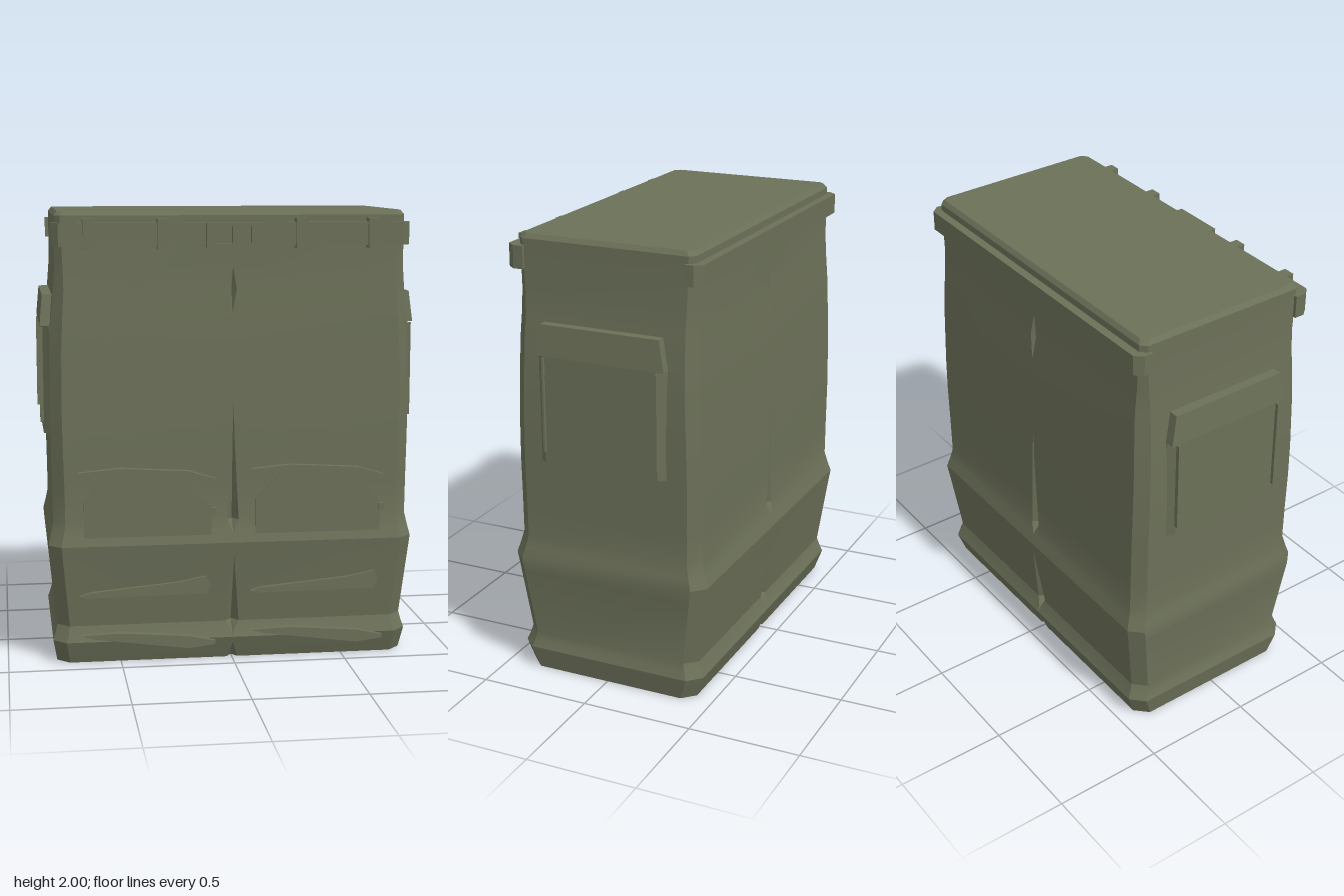
import * as THREE from 'three';
import { toCreasedNormals } from 'three/addons/utils/BufferGeometryUtils.js';

const olive = new THREE.MeshStandardMaterial({ color: 0x6b7058 });
olive.name = 'olive canvas';

function part(name, geometry, parent) {
  const mesh = new THREE.Mesh(geometry, olive);
  mesh.name = name;
  parent.add(mesh);
  return mesh;
}

function box(name, x0, x1, y0, y1, z0, z1, parent) {
  const g = new THREE.BoxGeometry(x1 - x0, y1 - y0, z1 - z0);
  g.translate((x0 + x1) / 2, (y0 + y1) / 2, (z0 + z1) / 2);
  return part(name, g, parent);
}

const outline = pts => new THREE.Shape(pts.map(p => new THREE.Vector2(...p)));

// Outline in x/y, pushed forward from z0 to z1
function plate(pts, z0, z1) {
  const g = new THREE.ExtrudeGeometry(outline(pts), { depth: z1 - z0, bevelEnabled: false });
  return g.translate(0, 0, z0);
}

// Outline in x/z, raised from y0 to y1
function raised(pts, y0, y1) {
  const g = new THREE.ExtrudeGeometry(outline(pts.map(([x, z]) => [x, -z])), { depth: y1 - y0, bevelEnabled: false });
  return g.rotateX(-Math.PI / 2).translate(0, y0, 0);
}

// Sagging body: y, half width, half depth, corner chamfer, crease half width
const levels = [
  [0, 0.783, 0.405, 0.055, 0.025],
  [0.07, 0.795, 0.43, 0.057, 0],
  [0.1, 0.8, 0.44, 0.058, 0],
  [0.13, 0.79, 0.428, 0.056, 0.006],
  [0.17, 0.78, 0.415, 0.053, 0.03],
  [0.48, 0.81, 0.456, 0.055, 0],
  [0.54, 0.815, 0.465, 0.055, 0],
  [0.59, 0.803, 0.45, 0.053, 0],
  [0.64, 0.793, 0.437, 0.052, 0.027],
  [0.8, 0.795, 0.437, 0.052, 0.018],
  [1.0, 0.798, 0.437, 0.05, 0.008],
  [1.16, 0.8, 0.434, 0.05, 0],
  [1.4, 0.797, 0.427, 0.05, 0],
  [1.55, 0.788, 0.422, 0.048, 0],
  [1.66, 0.778, 0.415, 0.045, 0.02],
  [1.76, 0.77, 0.408, 0.035, 0],
  [1.98, 0.77, 0.406, 0.025, 0],
  [2.0, 0.755, 0.392, 0.025, 0],
];

function bodyGeometry() {
  const zc = -0.009;
  const rings = levels.map(([y, hx, hz, c, w]) => {
    const cw = Math.max(w, 0.004), inset = w * 1.4;
    const half = [[hx, -hz + c], [hx - c, -hz], [cw, -hz], [0, -hz + inset], [-cw, -hz], [-hx + c, -hz], [-hx, -hz + c]];
    return [...half, ...half.map(([x, z]) => [-x, -z])].map(([x, z]) => [x, y, z + zc]);
  });
  const pos = [], n = rings[0].length;
  const tri = (...pts) => pts.forEach(p => pos.push(...p));
  for (let i = 0; i < n; i++) {
    const j = (i + 1) % n;
    for (let k = 0; k < rings.length - 1; k++) {
      const a = rings[k], b = rings[k + 1];
      tri(a[i], a[j], b[j]);
      tri(a[i], b[j], b[i]);
    }
    const top = rings[rings.length - 1];
    tri([0, 2, zc], top[i], top[j]);
    tri([0, 0, zc], rings[0][j], rings[0][i]);
  }
  const g = new THREE.BufferGeometry();
  g.setAttribute('position', new THREE.Float32BufferAttribute(pos, 3));
  return toCreasedNormals(g, 0.36);
}

export function createModel() {
  const root = new THREE.Group();
  root.name = 'canvas pack';
  part('body', bodyGeometry(), root);

  // Belts across front and back, with chamfered ends
  const belt = (s, zIn, zOut) => [[-0.785, s * zIn], [0.785, s * zIn], [0.785, s * (zOut - 0.035)],
    [0.755, s * zOut], [-0.755, s * zOut], [-0.785, s * (zOut - 0.035)]];
  part('frontBelt', raised(belt(1, 0.365, 0.445), 1.85, 1.95), root);
  part('backBelt', raised(belt(-1, 0.375, 0.452), 1.86, 1.95), root);

  // Belt loops
  for (const x of [-0.625, -0.305, 0.3, 0.62])
    box('beltLoop', x - 0.026, x + 0.026, 1.838, 1.967, 0.39, 0.462, root);

  // Buckle frame with two windows and a central tongue
  const frame = outline([[-0.12, 1.845], [0.12, 1.845], [0.12, 1.95], [-0.12, 1.95]]);
  for (const [a, b] of [[-0.075, -0.008], [0.008, 0.075]])
    frame.holes.push(new THREE.Path([[a, 1.862], [a, 1.935], [b, 1.935], [b, 1.862]].map(p => new THREE.Vector2(...p))));
  const buckle = new THREE.ExtrudeGeometry(frame, { depth: 0.05, bevelEnabled: false });
  part('buckle', buckle.translate(0, 0, 0.422), root);

  // Side pockets: bevelled panel, overhanging flap and seam strips
  for (const s of [-1, 1]) {
    const pocket = new THREE.Group();
    pocket.name = s > 0 ? 'leftPocket' : 'rightPocket';
    root.add(pocket);
    part('panel', raised([[s * 0.76, 0.295], [s * 0.795, 0.295], [s * 0.823, 0.26], [s * 0.823, -0.272],
      [s * 0.795, -0.307], [s * 0.76, -0.307]], 1.02, 1.51), pocket);
    const flap = new THREE.BoxGeometry(0.07, 0.135, 0.605);
    const p = flap.attributes.position;
    for (let i = 0; i < p.count; i++) { // narrow the top edge and slope the outer face
      if (p.getY(i) > 0) {
        p.setZ(i, p.getZ(i) * 0.91);
        if (p.getX(i) * s > 0) p.setX(i, p.getX(i) - s * 0.012);
      }
    }
    flap.computeVertexNormals();
    part('flap', flap.translate(s * 0.8, 1.5675, -0.006), pocket);
    for (const z of [0.257, -0.272])
      box('seamStrip', s * 0.828 - 0.01, s * 0.828 + 0.01, 1.07, 1.49, z - 0.004, z + 0.004, pocket);
  }

  // Front pockets: sunken panels with thin folds showing through the cloth
  const upperFold = [[-0.68, 0.87], [-0.62, 0.857], [-0.18, 0.8], [-0.08, 0.815], [-0.08, 0.832], [-0.2, 0.868], [-0.5, 0.886]];
  const lowerFold = [[-0.68, 0.315], [-0.66, 0.305], [-0.12, 0.31], [-0.1, 0.35], [-0.12, 0.39], [-0.25, 0.365], [-0.63, 0.33]];
  const hemFold = [[-0.68, 0.135], [-0.62, 0.118], [-0.2, 0.062], [-0.08, 0.077], [-0.08, 0.092], [-0.2, 0.118], [-0.5, 0.141]];
  const panel = [[-0.66, 0.55], [-0.1, 0.55], [-0.09, 0.7], [-0.18, 0.81], [-0.54, 0.85], [-0.66, 0.73]];
  [-0.76, 0].forEach((_, i) => {
    const pocket = new THREE.Group();
    pocket.name = i ? 'frontPocketLeft' : 'frontPocketRight';
    pocket.position.x = i * 0.76;
    root.add(pocket);
    part('upperFold', plate(upperFold, 0.4, 0.458), pocket);
    part('lowerFold', plate(lowerFold, 0.4, 0.45), pocket);
    part('hemFold', plate(hemFold, 0.39, 0.452), pocket);
    part('panel', plate(panel, 0.4, 0.445), pocket);
    box('sideTab', -0.105, -0.08, 0.67, 0.7, 0.42, 0.458, pocket);
  });

  return root;
}
